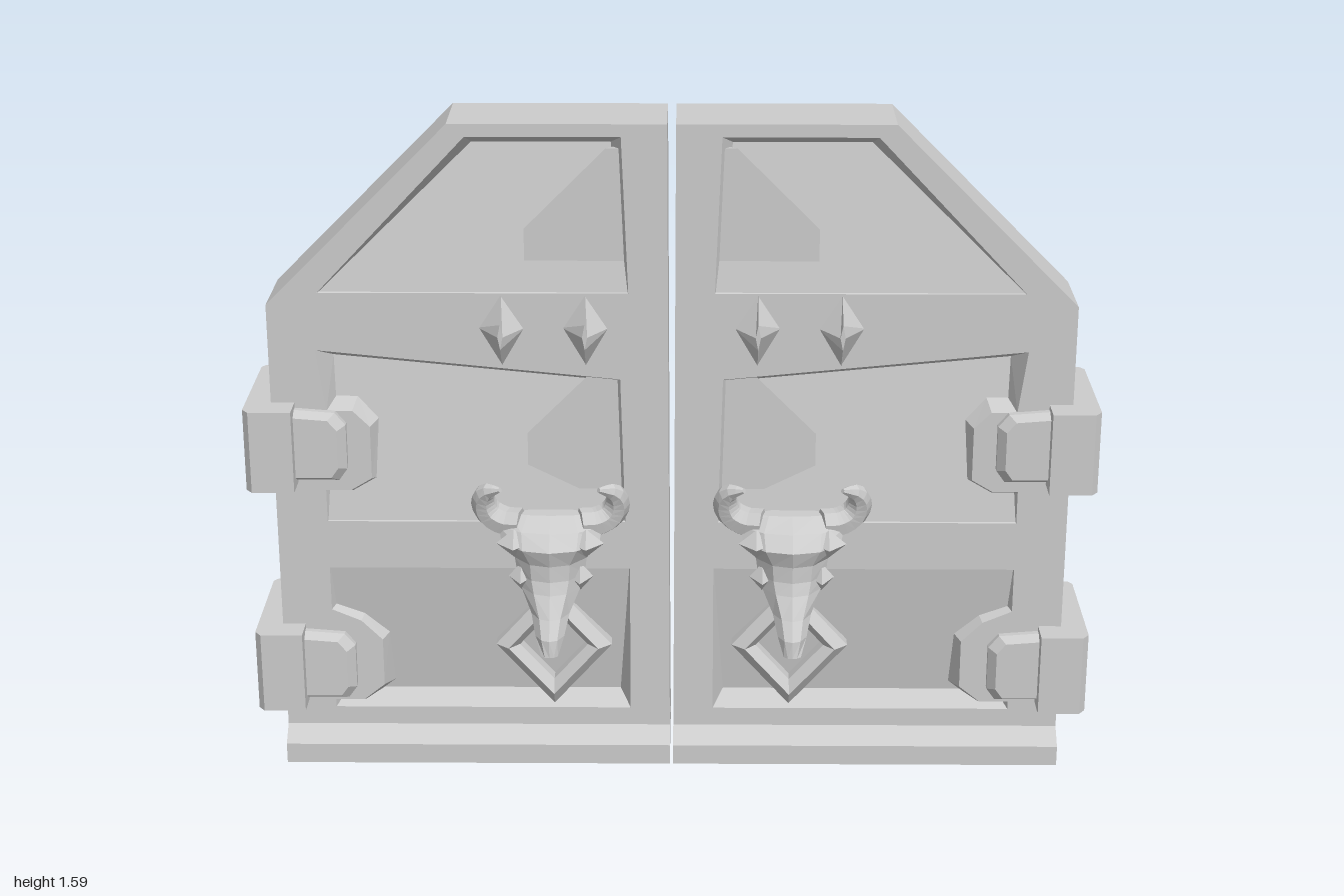
import * as THREE from 'three';

const mat = new THREE.MeshStandardMaterial({ color: 0xcccccc, flatShading: true, side: THREE.DoubleSide });
const FRONT = 0.03, BACK = -0.17, PANEL_THICKNESS = 0.035;

function mesh(geo, name, parent) {
  const m = new THREE.Mesh(geo, mat);
  m.name = name;
  parent.add(m);
  return m;
}

const shapeOf = pts => new THREE.Shape(pts.map(p => new THREE.Vector2(p[0], p[1])));
const atZ = (pts, z) => pts.map(p => [p[0], p[1], z]);

// Skin a list of equal-length rings, optionally closing both ends
function loft(rings, caps = true) {
  const n = rings[0].length, pos = rings.flat(2), idx = [];
  for (let r = 0; r < rings.length - 1; r++) {
    for (let i = 0; i < n; i++) {
      const a = r * n + i, b = r * n + (i + 1) % n;
      idx.push(a, b, b + n, a, b + n, a + n);
    }
  }
  if (caps) {
    const e = (rings.length - 1) * n;
    for (let i = 1; i < n - 1; i++) idx.push(0, i + 1, i, e, e + i, e + i + 1);
  }
  const g = new THREE.BufferGeometry();
  g.setAttribute('position', new THREE.Float32BufferAttribute(pos, 3));
  g.setIndex(idx);
  g.computeVertexNormals();
  return g;
}

// Move each corner of a counter-clockwise loop inwards by dist(y)
function inset(pts, dist) {
  const normal = (a, b) => new THREE.Vector2(a[1] - b[1], b[0] - a[0]).normalize();
  return pts.map((p, i) => {
    const n1 = normal(pts[(i + pts.length - 1) % pts.length], p);
    const n2 = normal(p, pts[(i + 1) % pts.length]);
    const k = dist(p[1]) / (1 + n1.dot(n2));
    return [p[0] + (n1.x + n2.x) * k, p[1] + (n1.y + n2.y) * k];
  });
}

// Panel openings; each panel leans from nearly flush (y = flush) to sunken (y = deep)
const openings = [
  { name: 'topPanel', flush: 1.19, deep: 1.56,
    pts: [[0.10, 1.19], [0.82, 1.19], [0.47, 1.56], [0.115, 1.56]] },
  { name: 'middlePanel', flush: 0.62, deep: 1.0,
    pts: [[0.11, 0.62], [0.82, 0.62], [0.82, 0.70], [0.76, 0.70], [0.71, 0.73], [0.71, 0.86],
      [0.75, 0.90], [0.81, 0.90], [0.83, 1.05], [0.12, 0.98]] },
  { name: 'bottomPanel', flush: 0.50, deep: 0.13,
    pts: [[0.10, 0.13], [0.82, 0.13], [0.82, 0.15], [0.75, 0.15], [0.70, 0.19], [0.70, 0.31],
      [0.75, 0.36], [0.82, 0.39], [0.82, 0.50], [0.10, 0.50]] },
];

// Flat sheet bent to z = zAt(y)
function leaningSheet(pts, zAt) {
  const g = new THREE.ShapeGeometry(shapeOf(pts)), p = g.attributes.position;
  for (let i = 0; i < p.count; i++) p.setZ(i, zAt(p.getY(i)));
  g.computeVertexNormals();
  return g;
}

function addPanels(leaf) {
  for (const o of openings) {
    const depth = y => 0.004 + 0.06 * THREE.MathUtils.clamp((y - o.flush) / (o.deep - o.flush), 0, 1.2);
    const zAt = y => FRONT - depth(y);
    const inner = inset(o.pts, y => depth(y) * 0.4);
    mesh(loft([atZ(o.pts, FRONT), inner.map(([x, y]) => [x, y, zAt(y)])], false), o.name + 'Bevel', leaf);
    mesh(leaningSheet(inner, zAt), o.name, leaf);
    mesh(leaningSheet(o.pts, y => zAt(y) - PANEL_THICKNESS), o.name + 'Back', leaf);
  }
}

// Wedge blocks bedded in the upper panels near the meeting edge
function addWedge(leaf, dy) {
  const pts = [[0.09, 1.20], [0.22, 1.20], [0.34, 1.26], [0.34, 1.34], [0.15, 1.53], [0.09, 1.53]];
  const squeeze = (kx, ky, z) => pts.map(([x, y]) => [0.09 + (x - 0.09) * kx, 1.37 + (y - 1.37) * ky + dy, z]);
  mesh(loft([squeeze(1, 1, 0.014), squeeze(0.42, 0.95, -0.05), squeeze(0.3, 0.85, -0.15)]), 'wedgeBlock', leaf);
}

// Clamp around the outer edge, with a tapered lug on each face
function addHinge(leaf, y) {
  const hinge = new THREE.Group();
  hinge.name = 'hinge';
  hinge.position.y = y;
  leaf.add(hinge);
  const side = [[0.885, -0.24], [0.99, -0.24], [1, -0.225], [1, 0.08], [0.985, 0.1], [0.885, 0.1]];
  mesh(loft([-0.1, 0.1].map(h => side.map(([x, z]) => [x, h, z]))), 'hingeClamp', hinge);
  const lug = [[0.89, -0.088], [0.785, -0.088], [0.765, -0.06], [0.765, 0.05], [0.79, 0.08], [0.89, 0.088]];
  const shrink = k => lug.map(([x, h]) => [0.89 + (x - 0.89) * k, h * k]);
  mesh(loft([atZ(lug, 0.0), atZ(lug, 0.045), atZ(shrink(0.85), 0.068)]), 'frontLug', hinge);
  mesh(loft([atZ(shrink(0.9), -0.15), atZ(shrink(0.85), -0.2), atZ(shrink(0.65), -0.225)]), 'backLug', hinge);
}

// Four-sided stud with a short upright ridge
function addStud(leaf, x) {
  const base = [[x, 1.01], [x + 0.055, 1.105], [x, 1.19], [x - 0.055, 1.105]];
  const top = [[x, 1.07], [x + 0.006, 1.1], [x, 1.13], [x - 0.006, 1.1]];
  mesh(loft([atZ(base, FRONT - 0.005), atZ(top, 0.083)]), 'diamondStud', leaf);
}

// Horned animal skull, modelled about x = 0
function makeSkull() {
  const skull = new THREE.Group();
  skull.name = 'hornedSkull';
  // y, half width, back z, front z
  const sections = [
    [0.66, 0.10, 0.05, 0.09], [0.635, 0.122, 0.03, 0.145], [0.60, 0.115, 0.03, 0.178],
    [0.56, 0.085, 0.03, 0.165], [0.52, 0.08, 0.03, 0.165], [0.49, 0.07, 0.05, 0.175],
    [0.44, 0.045, 0.10, 0.205], [0.40, 0.034, 0.155, 0.235], [0.36, 0.02, 0.215, 0.238],
  ];
  mesh(loft(sections.map(([y, w, b, f]) => {
    const m = b + (f - b) * 0.55;
    return [[w * 0.5, y, b], [w, y, m], [w * 0.55, y, f - (f - b) * 0.1], [0, y, f],
      [-w * 0.55, y, f - (f - b) * 0.1], [-w, y, m], [-w * 0.5, y, b]];
  })), 'cranium', skull);

  const curve = new THREE.CatmullRomCurve3([[0.07, 0.64, 0.085], [0.11, 0.64, 0.075], [0.145, 0.66, 0.07],
    [0.158, 0.695, 0.08], [0.148, 0.725, 0.1], [0.115, 0.738, 0.122]].map(p => new THREE.Vector3(...p)));
  const steps = 12, frames = curve.computeFrenetFrames(steps);
  const rings = [];
  for (let i = 0; i <= steps; i++) {
    const t = i / steps, r = 0.03 * (1 - t ** 3) + 0.006, c = curve.getPointAt(t);
    rings.push(Array.from({ length: 7 }, (_, k) => {
      const a = k / 7 * Math.PI * 2;
      return c.clone().addScaledVector(frames.normals[i], Math.cos(a) * r)
        .addScaledVector(frames.binormals[i], Math.sin(a) * r).toArray();
    }));
  }
  const hornGeo = loft(rings);
  for (const s of [1, -1]) {
    mesh(hornGeo, 'horn', skull).scale.x = s;
    const cheek = mesh(new THREE.OctahedronGeometry(1), 'cheekBone', skull);
    cheek.position.set(s * 0.07, 0.515, 0.11);
    cheek.scale.set(0.03, 0.035, 0.05);
    const brow = mesh(new THREE.OctahedronGeometry(1), 'brow', skull);
    brow.position.set(s * 0.085, 0.605, 0.125);
    brow.scale.set(0.042, 0.035, 0.045);
  }
  return skull;
}

function makeLeaf() {
  const leaf = new THREE.Group();
  // Frame with three openings
  const outline = shapeOf([[0.004, 0], [0.94, 0], [0.94, 1.16], [0.51, 1.59], [0.01, 1.59]]);
  outline.holes = openings.map(o => new THREE.Path(o.pts.map(p => new THREE.Vector2(...p))));
  mesh(new THREE.ExtrudeGeometry(outline, { depth: FRONT - BACK, bevelEnabled: false }), 'doorFrame', leaf)
    .position.z = BACK;
  addPanels(leaf);
  addWedge(leaf, 0);
  addWedge(leaf, -0.5);
  // Kick rail along the bottom, on both faces
  const rail = [[-0.212, 0], [0.075, 0], [0.075, 0.05], [0.029, 0.085], [-0.169, 0.085], [-0.212, 0.05]];
  mesh(loft([0.004, 0.94].map(x => rail.map(([z, y]) => [x, y, z]))), 'kickRail', leaf);
  addHinge(leaf, 0.82);
  addHinge(leaf, 0.252);
  addStud(leaf, 0.2);
  addStud(leaf, 0.395);
  // Diamond ring under the skull
  const profile = [[0.14, -0.035], [0.14, 0], [0.108, 0.028], [0.082, 0], [0.082, -0.035]].map(p => new THREE.Vector2(...p));
  const ring = mesh(new THREE.LatheGeometry(profile, 4), 'diamondRing', leaf);
  ring.geometry.rotateX(Math.PI / 2).scale(1, 1.12, 1);
  ring.position.set(0.285, 0.3, 0.03);
  const skull = makeSkull();
  skull.position.x = 0.285;
  leaf.add(skull);
  return leaf;
}

export function createModel() {
  const gate = new THREE.Group();
  gate.name = 'doubleGate';
  for (const [name, s] of [['leftLeaf', 1], ['rightLeaf', -1]]) {
    const leaf = makeLeaf();
    leaf.name = name;
    leaf.scale.x = s;
    gate.add(leaf);
  }
  return gate;
}
